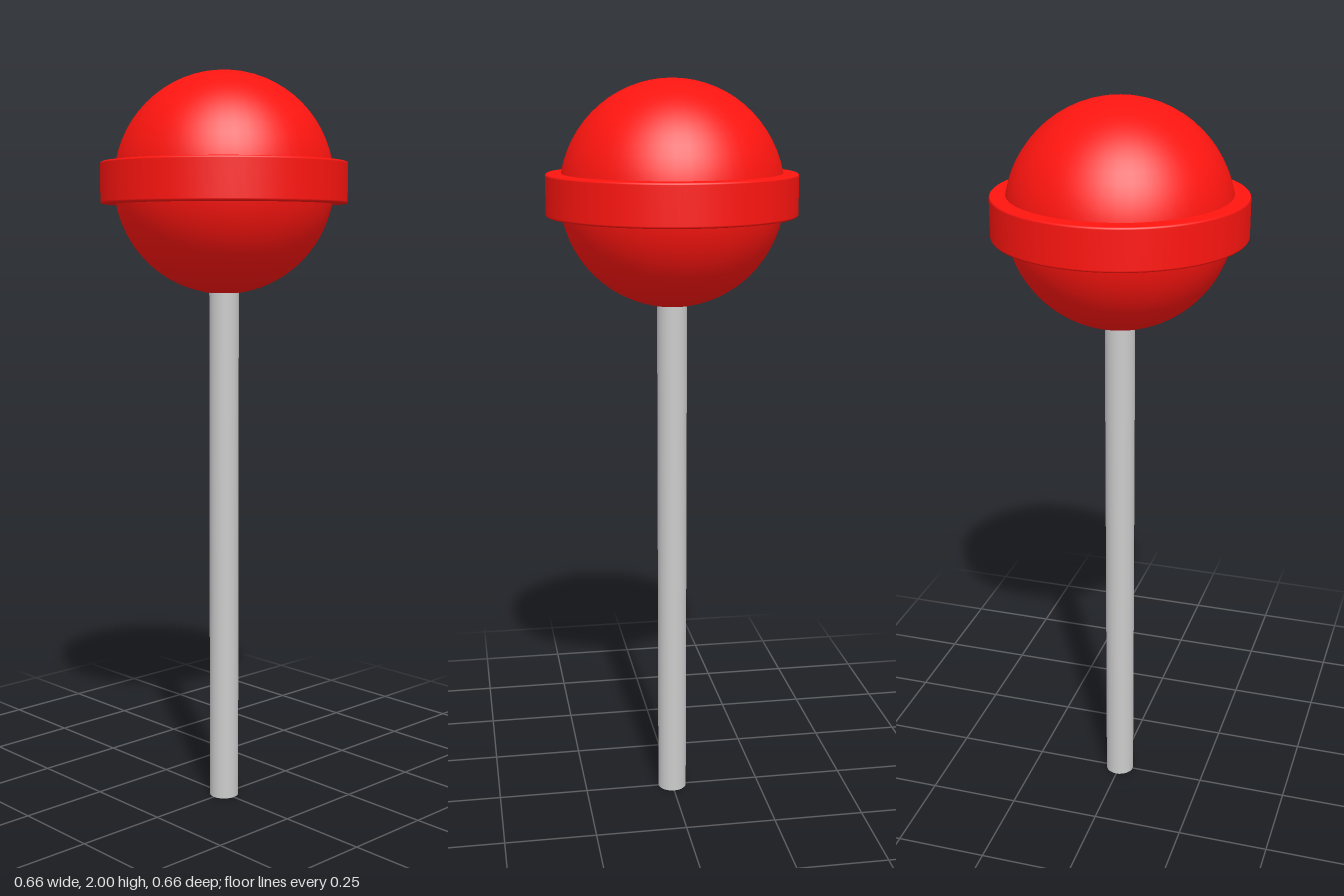
import * as THREE from 'three';

export function createModel() {
  const model = new THREE.Group();
  const candyRed = new THREE.MeshStandardMaterial({ color: 0xff1510 });
  const grey = new THREE.MeshStandardMaterial({ color: 0xcccccc });
  const centre = 1.706;

  const add = (name, geometry, material, y) => {
    const mesh = new THREE.Mesh(geometry, material);
    mesh.name = name;
    mesh.position.y = y;
    model.add(mesh);
  };

  // Round candy
  add('candyBall', new THREE.SphereGeometry(0.294, 48, 32), candyRed, centre);

  // Flat band around the middle, with slightly softened outer corners
  const inner = 0.28, outer = 0.33, half = 0.055, soft = 0.006;
  const band = new THREE.Shape();
  band.moveTo(inner, -half);
  band.lineTo(outer - soft, -half);
  band.absarc(outer - soft, -half + soft, soft, -Math.PI / 2, 0);
  band.absarc(outer - soft, half - soft, soft, 0, Math.PI / 2);
  band.lineTo(inner, half);
  add('candyBand', new THREE.LatheGeometry(band.getPoints(4), 64), candyRed, centre);

  // Stick, running a little way into the candy
  const stickLength = 1.45;
  add('stick', new THREE.CylinderGeometry(0.04, 0.04, stickLength, 32), grey, stickLength / 2);

  return model;
}
